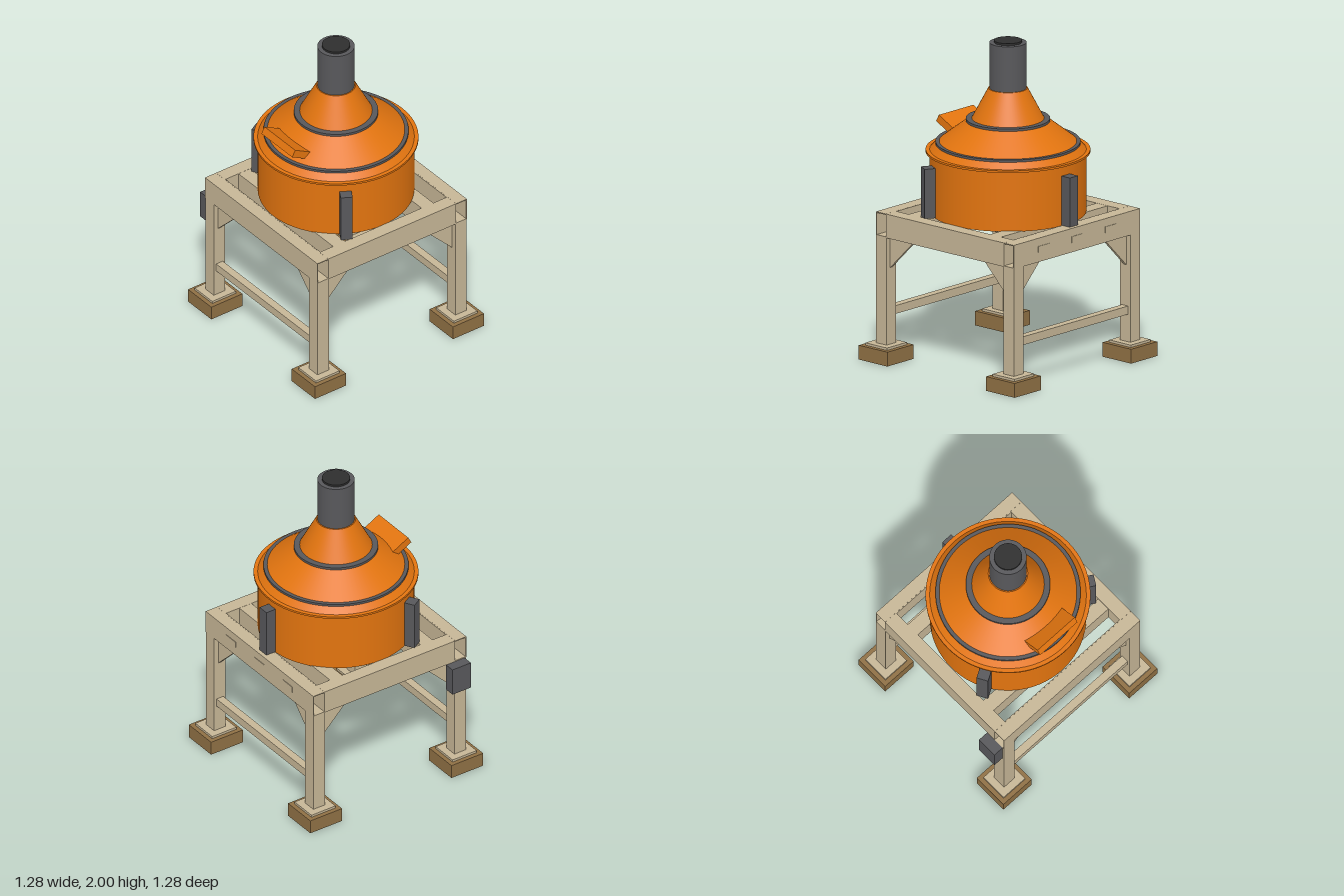
import * as THREE from 'three';

const mat = (name, color) => {
  const m = new THREE.MeshStandardMaterial({ color });
  m.name = name;
  return m;
};

export function createModel() {
  const orange = mat('orange paint', 0xe2740f);
  const tan = mat('tan steel', 0xc6b696);
  const grey = mat('dark grey steel', 0x58585b);
  const black = mat('chimney opening', 0x2e2e2e);
  const brown = mat('brown footing', 0x8f7044);
  const root = new THREE.Group();

  const add = (name, geo, material, x = 0, y = 0, z = 0, parent = root) => {
    const m = new THREE.Mesh(geo, material);
    m.name = name;
    m.position.set(x, y, z);
    parent.add(m);
    return m;
  };
  // box given by its size and centre
  const box = (name, material, w, h, d, x, y, z, parent) =>
    add(name, new THREE.BoxGeometry(w, h, d), material, x, y, z, parent);
  // round section between two heights
  const round = (name, material, r0, y0, r1, y1) =>
    add(name, new THREE.CylinderGeometry(r1, r0, y1 - y0, 72), material, 0, (y0 + y1) / 2, 0);

  // Feet and legs
  const C = 0.523;
  for (const sx of [-1, 1]) for (const sz of [-1, 1]) {
    box('footing', brown, 0.235, 0.09, 0.235, sx * C, 0.045, sz * C);
    box('basePlate', tan, 0.178, 0.015, 0.178, sx * C, 0.0975, sz * C);
    box('leg', tan, 0.086, 0.68, 0.086, sx * C, 0.445, sz * C);
  }

  // Triangular gussets beside each leg, along both frame directions
  const tri = new THREE.Shape([[0, 0], [0.195, 0], [0, -0.195]].map(p => new THREE.Vector2(...p)));
  const gussetGeo = new THREE.ExtrudeGeometry(tri, { depth: 0.02, bevelEnabled: false });
  gussetGeo.translate(-0.48, 0.782, C - 0.01);
  for (let i = 0; i < 4; i++) {
    add('gusset', gussetGeo, tan).rotation.y = i * Math.PI / 2;
    const other = gussetGeo.clone().translate(0, 0, -2 * C);
    add('gusset', other, tan).rotation.y = i * Math.PI / 2;
  }

  // Front and back beams: thin walled tubes with open ends
  const wall = 0.006, bottom = 0.78, top = 0.93, mid = (top + bottom) / 2;
  for (const s of [-1, 1]) {
    const beam = new THREE.Group();
    beam.name = s > 0 ? 'frontBeam' : 'backBeam';
    root.add(beam);
    for (const z of [0.564, 0.481])
      box('beamWall', tan, 1.134, top - bottom, wall, 0, mid, s * z, beam);
    for (const y of [bottom + wall / 2, top - wall / 2])
      box('beamFlange', tan, 1.134, wall, 0.077, 0, y, s * C, beam);
    box('sideBeam', tan, 0.089, 0.15, 0.956, s * 0.5225, mid, 0);
    box('crossBeam', tan, 0.956, 0.148, 0.09, 0, mid, s * 0.335);
    box('lowerBrace', tan, 0.96, 0.052, 0.05, 0, 0.304, s * C);
  }
  // Small plates on the back beam
  for (const x of [-0.3, 0, 0.3])
    box('slotPlate', tan, 0.1, 0.038, 0.005, x, 0.86, -0.568);

  // Control box on the right front leg
  box('controlBox', grey, 0.068, 0.18, 0.136, -0.6, 0.69, 0.486);

  // Drum, domed roof and chimney
  round('drum', orange, 0.475, 0.925, 0.475, 1.305);
  round('rimFlange', orange, 0.5, 1.302, 0.5, 1.315);
  round('roofSkirt', orange, 0.475, 1.315, 0.44, 1.352);
  round('lowerRing', grey, 0.44, 1.35, 0.44, 1.366);
  round('lowerCone', orange, 0.417, 1.366, 0.25, 1.496);
  round('upperRing', grey, 0.256, 1.495, 0.256, 1.51);
  round('upperCone', orange, 0.22, 1.51, 0.12, 1.7);
  round('chimney', grey, 0.113, 1.695, 0.113, 1.987);
  round('chimneyOpening', black, 0.085, 1.98, 0.085, 2);

  // Discharge gate under the drum
  box('dischargeGate', grey, 0.26, 0.03, 0.26, 0.23, 0.912, 0.12);

  // Tilted charging hatch on the front of the roof
  const hatch = new THREE.Group();
  hatch.name = 'hatch';
  hatch.position.set(0, 1.459, 0.4375);
  hatch.rotation.x = -0.49;
  root.add(hatch);
  box('hatchBox', orange, 0.31, 0.048, 0.145, 0, 0, -0.0725, hatch);

  // Three upright brackets around the drum
  for (let i = 0; i < 3; i++) {
    const a = Math.PI + i * Math.PI * 2 / 3;
    const b = box('drumBracket', grey, 0.073, 0.312, 0.08, Math.sin(a) * 0.501, 1.084, Math.cos(a) * 0.501);
    b.rotation.y = a;
  }
  return root;
}
